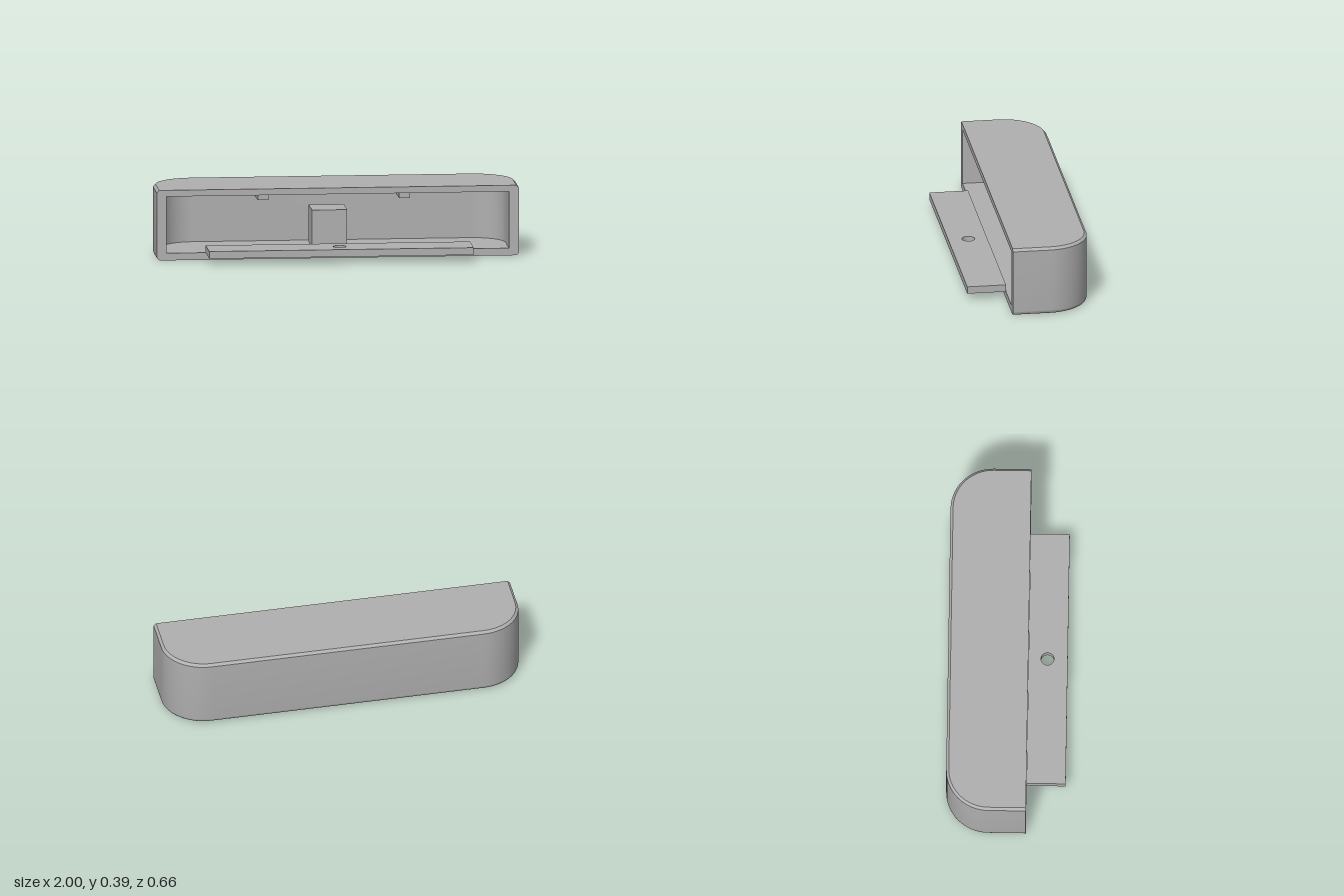
import * as THREE from 'three';
import { toCreasedNormals } from 'three/addons/utils/BufferGeometryUtils.js';

const FRONT = 0.113, BACK = -0.328, H = 0.39;
const CORNER = 0.235, WALL = 0.055, FILLET = 0.022, CHAMFER = 0.014;
const FLOOR = 0.04, CEILING = 0.355;

// U-shaped footprint, from the front at +x round the back to the front at -x
function ring(inset, y) {
  const r = CORNER - inset, cx = 1 - CORNER, cz = BACK + CORNER;
  const pts = [[1 - inset, y, FRONT]];
  for (const side of [0, 1]) {
    for (let i = 0; i <= 16; i++) {
      const a = (side + i / 16) * Math.PI / 2;
      pts.push([(side ? -cx : cx) + r * Math.cos(a), y, cz - r * Math.sin(a)]);
    }
  }
  pts.push([-1 + inset, y, FRONT]);
  return pts;
}

// Skin stacked rings, with flat caps below and above
function loft(rings, inward) {
  const pos = [];
  const tri = (a, b, c) => pos.push(...a, ...(inward ? c : b), ...(inward ? b : c));
  for (let k = 0; k < rings.length - 1; k++) {
    const lo = rings[k], hi = rings[k + 1];
    for (let i = 0; i < lo.length - 1; i++) {
      tri(lo[i], lo[i + 1], hi[i + 1]);
      tri(lo[i], hi[i + 1], hi[i]);
    }
  }
  const bottom = rings[0], top = rings[rings.length - 1];
  for (let i = 1; i < top.length - 1; i++) {
    tri(top[0], top[i], top[i + 1]);
    tri(bottom[0], bottom[i + 1], bottom[i]);
  }
  const g = new THREE.BufferGeometry();
  g.setAttribute('position', new THREE.Float32BufferAttribute(pos, 3));
  return toCreasedNormals(g, 0.6);
}

export function createModel() {
  const group = new THREE.Group();
  const grey = new THREE.MeshStandardMaterial({ name: 'grey', color: 0xb0b0b0 });
  const add = (name, geometry, x = 0, y = 0, z = 0) => {
    const mesh = new THREE.Mesh(geometry, grey);
    mesh.name = name;
    mesh.position.set(x, y, z);
    group.add(mesh);
  };

  // Housing section: rounded bottom edge, chamfered top edge
  const section = [];
  for (let i = 0; i <= 6; i++) {
    const a = i / 6 * Math.PI / 2;
    section.push([FILLET * (1 - Math.sin(a)), FILLET * (1 - Math.cos(a))]);
  }
  section.push([0, H - CHAMFER], [CHAMFER, H]);
  add('housing', loft(section.map(([d, y]) => ring(d, y)), false));
  add('cavity', loft([ring(WALL, FLOOR), ring(WALL, CEILING)], true));

  // Front rim around the opening
  const rim = new THREE.Shape([
    ...section.map(([d, y]) => new THREE.Vector2(1 - d, y)),
    ...section.slice().reverse().map(([d, y]) => new THREE.Vector2(d - 1, y)),
  ]);
  const w = 1 - WALL;
  rim.holes.push(new THREE.Path([
    new THREE.Vector2(-w, FLOOR), new THREE.Vector2(-w, CEILING),
    new THREE.Vector2(w, CEILING), new THREE.Vector2(w, FLOOR),
  ]));
  add('frontRim', new THREE.ShapeGeometry(rim), 0, 0, FRONT);

  // Mounting plate with a screw hole
  const plate = new THREE.Shape([
    new THREE.Vector2(-0.73, FRONT), new THREE.Vector2(0.73, FRONT),
    new THREE.Vector2(0.73, 0.328), new THREE.Vector2(-0.73, 0.328),
  ]);
  plate.holes.push(new THREE.Path().absarc(0, 0.217, 0.036, 0, Math.PI * 2, true));
  const plateGeometry = new THREE.ExtrudeGeometry(plate, { depth: 0.04, bevelEnabled: false, curveSegments: 20 });
  plateGeometry.rotateX(Math.PI / 2);
  add('mountingPlate', toCreasedNormals(plateGeometry, 0.6), 0, 0.08, 0);

  // Block on the cavity floor
  add('block', new THREE.BoxGeometry(0.195, 0.205, 0.19), -0.0325, FLOOR + 0.1025, -0.125);

  // Small tabs under the cavity ceiling
  for (const s of [-1, 1]) {
    add(s > 0 ? 'leftTab' : 'rightTab', new THREE.BoxGeometry(0.06, 0.065, 0.15), s * 0.39, CEILING - 0.0325, -0.198);
  }
  return group;
}
